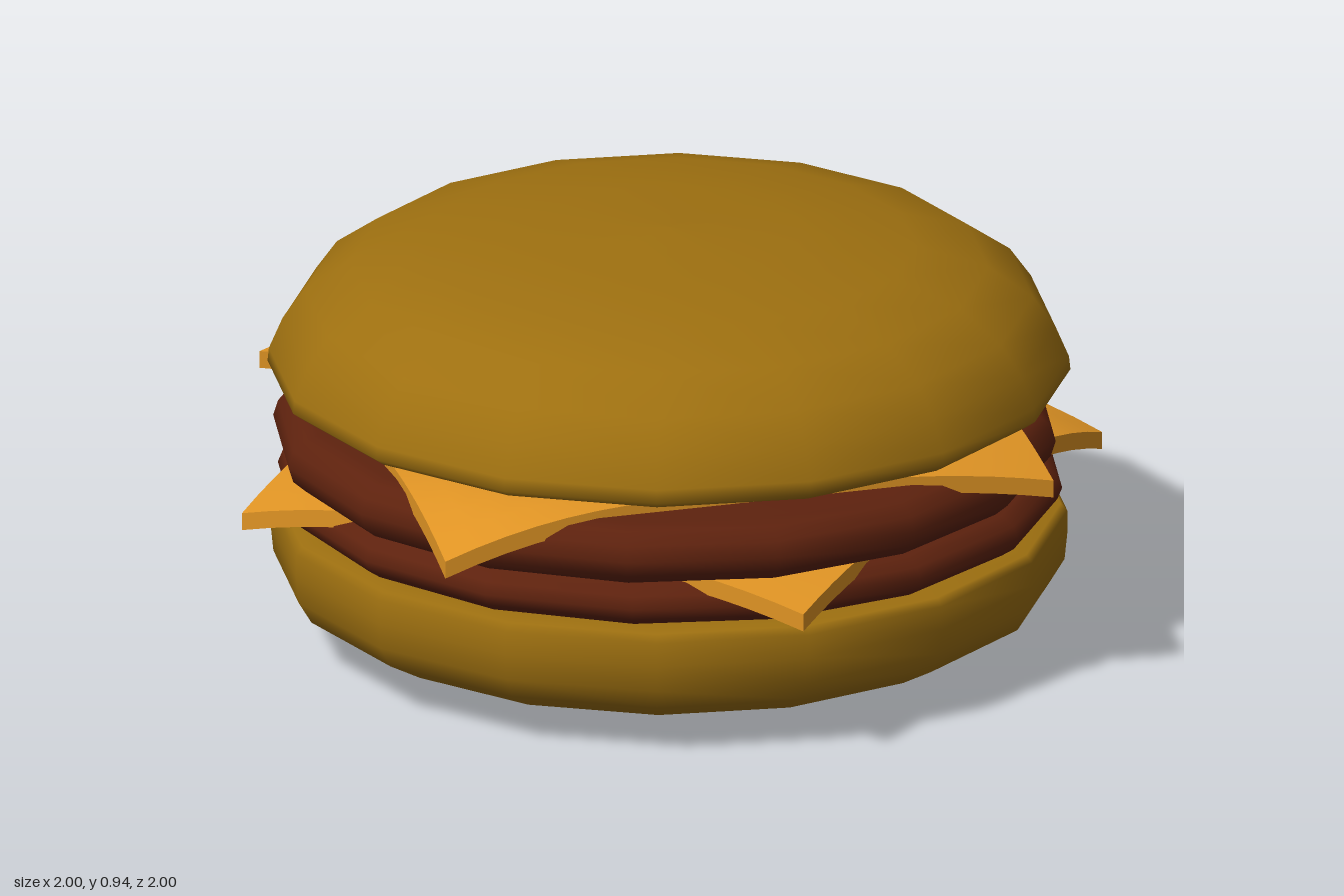
import * as THREE from 'three';

const mat = (name, color) => {
  const m = new THREE.MeshStandardMaterial({ color });
  m.name = name;
  return m;
};

export function createModel() {
  const bunMat = mat('toasted bun', 0x9e7010);
  const pattyMat = mat('grilled meat', 0x5e220e);
  const cheeseMat = mat('cheese', 0xe09424);
  const group = new THREE.Group();
  group.name = 'burger';

  const add = (name, geometry, material, x, y, z, turn = 0) => {
    const mesh = new THREE.Mesh(geometry, material);
    mesh.name = name;
    mesh.position.set(x, y, z);
    mesh.rotation.y = turn;
    group.add(mesh);
  };

  // 16-sided turned shape, profile listed from bottom to top
  const turned = (profile) =>
    new THREE.LatheGeometry(profile.map(([r, y]) => new THREE.Vector2(r, y)), 16);

  // Buns: a shallow base and a domed lid, both turned slightly
  const bottomBun = turned([
    [0, 0.005], [0.32, 0.012], [0.58, 0.035], [0.76, 0.07], [0.85, 0.12],
    [0.88, 0.17], [0.886, 0.23], [0.886, 0.285], [0.872, 0.302], [0.8, 0.305], [0, 0.305],
  ]);
  const topBun = turned([
    [0, 0.585], [0.6, 0.585], [0.8, 0.592], [0.87, 0.603], [0.893, 0.62], [0.89, 0.65],
    [0.86, 0.72], [0.81, 0.79], [0.71, 0.86], [0.55, 0.908], [0.3, 0.937], [0, 0.947],
  ]);
  add('bottomBun', bottomBun, bunMat, 0.01, 0, -0.04, 0.065);
  add('topBun', topBun, bunMat, 0.01, 0, -0.04, 0.065);

  // Patties: flat discs with a rounded rim
  const patty = (radius, height) => {
    const h = height / 2;
    const rim = [];
    for (let i = 0; i <= 6; i++) {
      const a = -Math.PI / 2 + (i * Math.PI) / 6;
      rim.push([radius - 0.08 + 0.08 * Math.cos(a), h * Math.sin(a)]);
    }
    return turned([[0, -h], ...rim, [0, h]]);
  };
  add('lowerPatty', patty(0.876, 0.108), pattyMat, 0.01, 0.358, -0.045);
  add('upperPatty', patty(0.874, 0.14), pattyMat, 0.02, 0.485, 0);

  // Cheese: square slices whose corners droop by their own amounts,
  // in the order (+x+z), (+x-z), (-x-z), (-x+z) before turning
  const cheese = (drops) => {
    const geo = new THREE.BoxGeometry(1.414, 0.04, 1.414, 20, 1, 20);
    const p = geo.attributes.position;
    for (let i = 0; i < p.count; i++) {
      const x = p.getX(i), z = p.getZ(i);
      const bend = Math.max(0, (Math.hypot(x, z) - 0.74) / 0.26);
      const drop = drops[x > 0 ? (z > 0 ? 0 : 1) : (z > 0 ? 3 : 2)];
      p.setY(i, p.getY(i) - drop * Math.pow(bend, 1.5));
    }
    geo.computeVertexNormals();
    return geo;
  };
  add('lowerCheese', cheese([0.06, 0.088, 0.07, 0.065]), cheeseMat, 0.015, 0.42, -0.045);
  add('upperCheese', cheese([0.05, 0.07, 0.09, 0.09]), cheeseMat, 0, 0.56, 0, Math.PI / 4);

  return group;
}
